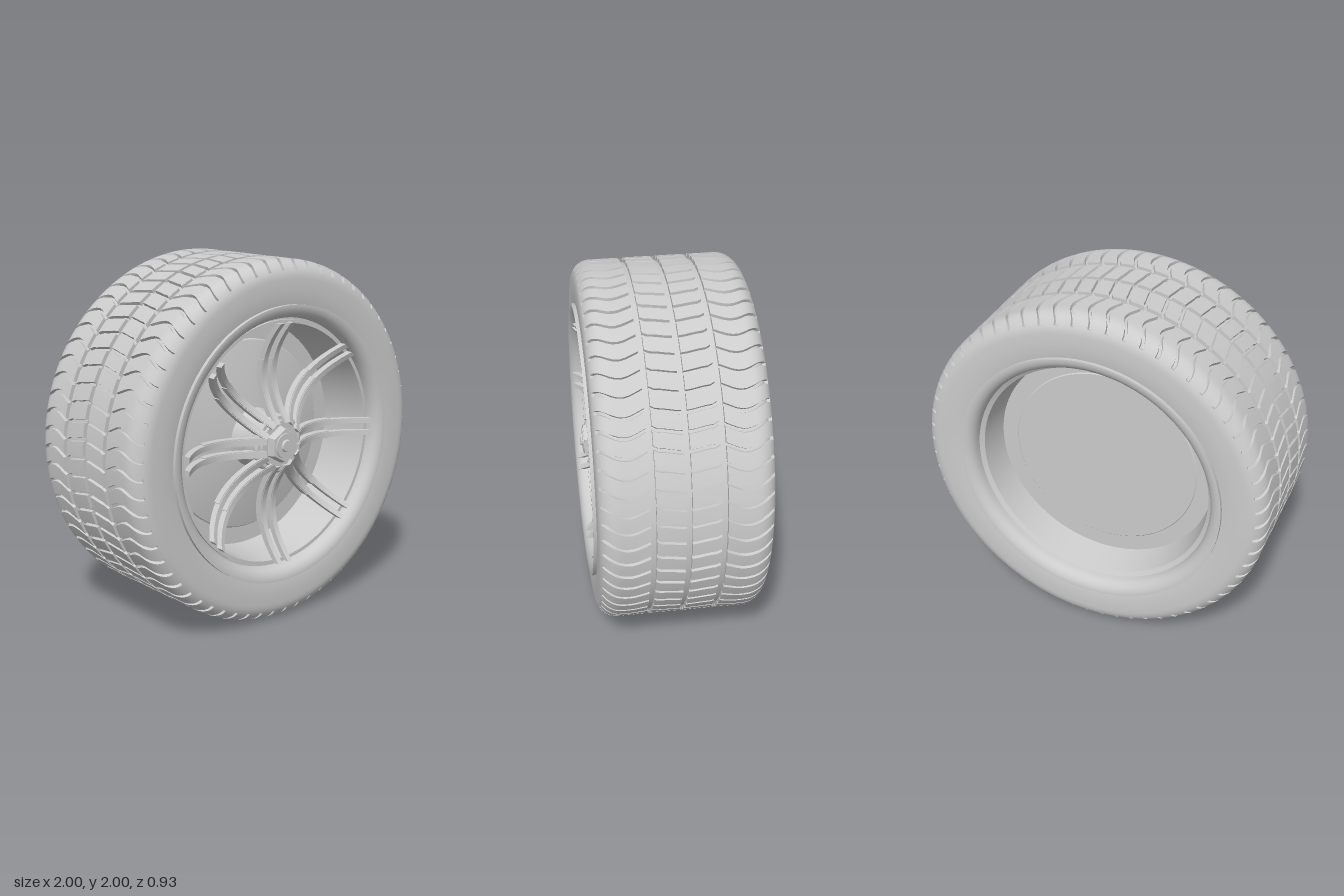
import * as THREE from 'three';
import { toCreasedNormals } from 'three/addons/utils/BufferGeometryUtils.js';

const material = new THREE.MeshStandardMaterial({ color: 0xcccccc, side: THREE.DoubleSide });

function add(parent, geometry, name, crease = 0.5) {
  const mesh = new THREE.Mesh(toCreasedNormals(geometry, crease), material);
  mesh.name = name;
  parent.add(mesh);
  return mesh;
}

// Revolve [radius, z] pairs round the axle
function revolve(points, segments = 96) {
  const profile = points.map(([r, z]) => new THREE.Vector2(r, z));
  return new THREE.LatheGeometry(profile, segments).rotateX(Math.PI / 2);
}

// Sideways sway of a cross groove at distance s from the tread centre
function sway(s) {
  const a = Math.min(Math.abs(s), 0.46);
  return (a < 0.15 ? 0.01 : 0.024) * Math.cos(2 * Math.PI * (a - 0.3) / 0.3);
}

// Cross-section rows of the tyre: radius, z, distance along tread, outward direction, groove depth
function tyreRows() {
  const depth = 0.017, corner = 0.1, flat = 0.35;
  const half = [];
  for (const [r, z] of [[0.74, 0.44], [0.78, 0.448], [0.84, 0.452], [0.9, 0.45]])
    half.push({ r, z, s: 0.5, nr: 0, nz: 1, cut: 0 });
  for (const deg of [10, 20, 27, 29, 40, 50, 60, 70, 80, 90]) {
    const t = THREE.MathUtils.degToRad(deg);
    half.push({
      r: 0.9 + corner * Math.sin(t), z: flat + corner * Math.cos(t),
      s: flat + corner * (Math.PI / 2 - t),
      nr: Math.sin(t), nz: Math.cos(t), cut: deg > 28 ? depth : 0
    });
  }
  const tread = (z, r = 1) => half.push({ r, z, s: z, nr: 1, nz: 0, cut: r < 1 ? 0 : depth });
  for (const z of [0.32, 0.29, 0.26, 0.23, 0.195]) tread(z);
  tread(0.195, 0.975);
  tread(0.165, 0.975);
  for (const z of [0.165, 0.14, 0.11, 0.08, 0.05, 0.015]) tread(z);
  tread(0.015, 0.975);
  const back = half.map(p => ({ ...p, z: -p.z, s: -p.s, nz: -p.nz })).reverse();
  return [...half, ...back];
}

function tyreGeometry() {
  const grooves = 64, pitch = 2 * Math.PI / grooves;
  // Angular steps over one groove and the tread block after it
  const steps = [[-0.0105, 0], [-0.008, 1], [0.008, 1], [0.0105, 0], [pitch / 2, 0]];
  const columns = grooves * steps.length, rows = tyreRows();
  const position = [], index = [];
  rows.forEach((p, i) => {
    for (let j = 0; j < columns; j++) {
      const [shift, inCut] = steps[j % steps.length];
      const angle = Math.floor(j / steps.length) * pitch + shift - sway(p.s);
      const r = p.r - p.nr * p.cut * inCut;
      position.push(r * Math.cos(angle), r * Math.sin(angle), p.z - p.nz * p.cut * inCut);
      if (i === rows.length - 1) continue;
      const next = (j + 1) % columns;
      const a = i * columns + j, b = a + columns;
      const d = i * columns + next, c = d + columns;
      index.push(a, b, c, a, c, d);
    }
  });
  const geometry = new THREE.BufferGeometry();
  geometry.setAttribute('position', new THREE.Float32BufferAttribute(position, 3));
  geometry.setIndex(index);
  return geometry;
}

// One curved spoke bar: a bowed strip in the radius/depth plane, extruded sideways
function spokeGeometry(width, r0, r1) {
  const bow = r => 0.295 + 1.7 * (r - 0.38) ** 2;
  const top = [], bottom = [];
  for (let i = 0; i <= 12; i++) {
    const r = r0 + (r1 - r0) * i / 12;
    top.push(new THREE.Vector2(r, bow(r) + 0.02));
    bottom.unshift(new THREE.Vector2(r, bow(r) - 0.02));
  }
  const shape = new THREE.Shape([...bottom, ...top]);
  return new THREE.ExtrudeGeometry(shape, { depth: width, bevelEnabled: false })
    .translate(0, 0, -width / 2).rotateX(Math.PI / 2);
}

export function createModel() {
  const model = new THREE.Group();
  model.name = 'wheel';
  const wheel = new THREE.Group();
  wheel.name = 'wheelAssembly';
  wheel.position.y = 1;
  model.add(wheel);

  add(wheel, tyreGeometry(), 'tyre', 0.6);

  // Rim: lip, hollow flange and barrel on each side
  const lip = [[0.765, 0.44], [0.765, 0.465], [0.755, 0.465], [0.735, 0.461], [0.715, 0.45],
    [0.7, 0.433], [0.692, 0.41], [0.69, 0.385]];
  add(wheel, revolve([...lip, [0.68, 0.385], [0.68, 0.4], [0.66, 0.4], [0.655, 0.36],
    [0.64, 0.1], [0.535, 0.1]]), 'frontRim');
  add(wheel, revolve([...lip, [0.665, 0.37], [0.635, 0.2], [0.535, 0.2]]
    .map(([r, z]) => [r, -z]).reverse()), 'backRim');

  // Brake drum behind the spokes, with a shallow cone in front
  add(wheel, revolve([[0, -0.205], [0.535, -0.205], [0.54, -0.2], [0.54, 0.11], [0.535, 0.115],
    [0.17, 0.19], [0, 0.19]]), 'drum', 0.3);

  // Eight pairs of spokes
  const spokes = new THREE.Group();
  spokes.name = 'spokes';
  wheel.add(spokes);
  const outer = spokeGeometry(0.03, 0.12, 0.668);
  const inner = spokeGeometry(0.04, 0.12, 0.46);
  for (let i = 0; i < 8; i++) {
    const pair = new THREE.Group();
    pair.name = 'spokePair';
    pair.rotation.z = i * Math.PI / 4;
    spokes.add(pair);
    for (const side of [-1, 1]) {
      add(pair, outer, 'spoke').position.y = side * 0.036;
      add(pair, inner, 'spokeRoot').position.set(0, side * 0.036, -0.004);
    }
  }

  // Hub: axle collar, stepped flange, hexagonal nut and pin
  add(wheel, revolve([[0.17, 0.18], [0.145, 0.25], [0.145, 0.3], [0.165, 0.3], [0.165, 0.385],
    [0.155, 0.395], [0.135, 0.395], [0.13, 0.405], [0, 0.405]], 48), 'hub');
  const nut = new THREE.CylinderGeometry(0.092, 0.105, 0.045, 6).rotateX(Math.PI / 2);
  add(wheel, nut, 'hubNut', 0.2).position.z = 0.425;
  add(wheel, revolve([[0.072, 0.44], [0.068, 0.453], [0.035, 0.453], [0.03, 0.465], [0, 0.465]], 32),
    'axlePin');
  return model;
}
